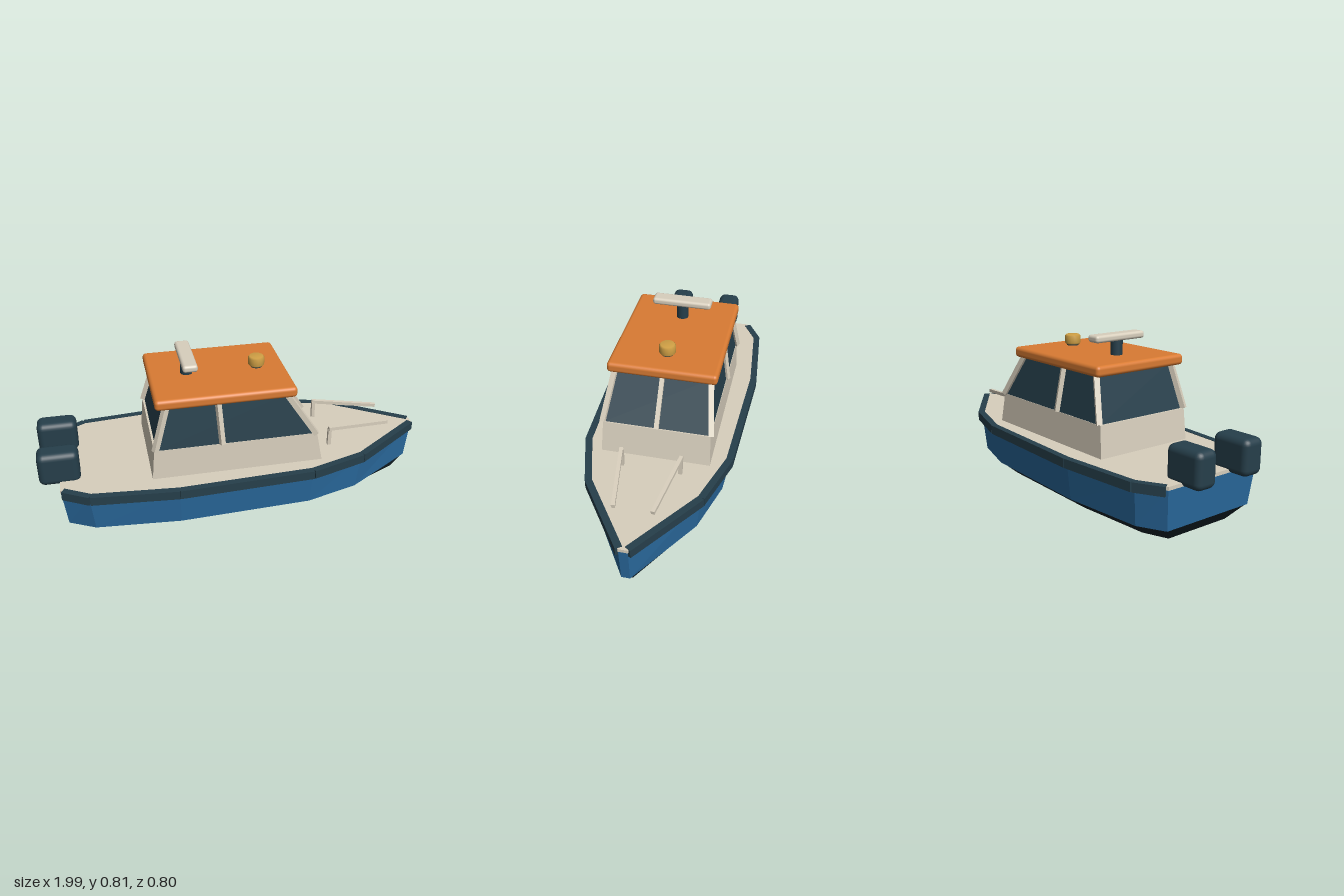
import * as THREE from 'three';
import { RoundedBoxGeometry } from 'three/addons/geometries/RoundedBoxGeometry.js';

export function createModel() {
  const boat = new THREE.Group();
  boat.name = 'boat';
  const mat = (name, color) => {
    const m = new THREE.MeshStandardMaterial({ color });
    m.name = name;
    return m;
  };
  const blue = mat('hull blue', 0x2a6a9e);
  const black = mat('keel black', 0x17252b);
  const cream = mat('cream', 0xd8cfbd);
  const slate = mat('dark slate', 0x263f4b);
  const orange = mat('roof orange', 0xd97b33);
  const gold = mat('beacon gold', 0xd0a045);

  const add = (name, geometry, material, x = 0, y = 0, z = 0) => {
    const mesh = new THREE.Mesh(geometry, material);
    mesh.name = name;
    mesh.position.set(x, y, z);
    boat.add(mesh);
    return mesh;
  };

  // Flat-faced solid through horizontal rings, closed at both ends
  const loft = (rings) => {
    const pos = [];
    const n = rings[0].length;
    const tri = (...pts) => pts.forEach((p) => pos.push(...p));
    for (let r = 0; r < rings.length - 1; r++) {
      for (let i = 0; i < n; i++) {
        const j = (i + 1) % n, lo = rings[r], hi = rings[r + 1];
        tri(lo[i], lo[j], hi[j]);
        tri(lo[i], hi[j], hi[i]);
      }
    }
    const first = rings[0], last = rings[rings.length - 1];
    for (let i = 1; i < n - 1; i++) {
      tri(first[0], first[i + 1], first[i]);
      tri(last[0], last[i], last[i + 1]);
    }
    const g = new THREE.BufferGeometry();
    g.setAttribute('position', new THREE.Float32BufferAttribute(pos, 3));
    g.computeVertexNormals();
    return g;
  };

  // Square bar between two points
  const beam = (name, a, b, w, h, material) => {
    const p = new THREE.Vector3(...a), q = new THREE.Vector3(...b);
    const bar = add(name, new THREE.BoxGeometry(w, h, p.distanceTo(q)), material);
    bar.position.copy(p).add(q).multiplyScalar(0.5);
    bar.lookAt(q);
    return bar;
  };

  // Hull: one plan outline, scaled at each height
  const half = [[-0.9, 0.272], [-0.77, 0.343], [-0.345, 0.38], [0.33, 0.352], [0.61, 0.268], [0.985, 0.022]];
  const hullRing = (y, sx, sz) => {
    const side = half.map(([x, z]) => [0.04 + (x - 0.04) * sx, y, z * sz]);
    return [...side, ...side.map(([x, yy, z]) => [x, yy, -z]).reverse()];
  };
  add('keel', loft([hullRing(0, 0.91, 0.66), hullRing(0.075, 0.975, 0.915)]), black);
  add('hull', loft([hullRing(0.075, 0.98, 0.93), hullRing(0.27, 1, 1)]), blue);
  add('deck', loft([hullRing(0.268, 1.003, 1), hullRing(0.285, 1.003, 1)]), cream);

  // Rubbing rails along both sides
  const railPath = [[-0.89, 0.275], [-0.765, 0.346], [-0.345, 0.383], [0.33, 0.357], [0.615, 0.27], [0.98, 0.02]];
  for (const s of [1, -1]) {
    for (let i = 0; i < railPath.length - 1; i++) {
      const [x0, z0] = railPath[i], [x1, z1] = railPath[i + 1];
      beam('rubbingRail', [x0, 0.265, s * z0], [x1, 0.265, s * z1], 0.034, 0.045, slate);
    }
  }

  // Cabin
  const box = (y, x0, x1, z) => [[x0, y, z], [x1, y, z], [x1, y, -z], [x0, y, -z]];
  add('cabinBase', loft([box(0.28, -0.46, 0.397, 0.27), box(0.44, -0.445, 0.365, 0.264)]), cream);
  add('windows', loft([box(0.438, -0.435, 0.36, 0.262), box(0.66, -0.37, 0.212, 0.228)]), slate);
  for (const s of [1, -1]) {
    beam('frontPillar', [0.36, 0.44, s * 0.266], [0.212, 0.66, s * 0.233], 0.026, 0.026, cream);
    beam('rearPillar', [-0.44, 0.44, s * 0.266], [-0.375, 0.66, s * 0.233], 0.026, 0.026, cream);
    beam('sidePillar', [-0.113, 0.44, s * 0.266], [-0.127, 0.66, s * 0.233], 0.024, 0.024, cream);
  }
  beam('windscreenPillar', [0.362, 0.44, 0], [0.214, 0.66, 0], 0.022, 0.022, cream);
  add('roof', new RoundedBoxGeometry(0.685, 0.053, 0.536, 3, 0.018), orange, -0.087, 0.682, 0);

  // Radar and beacon
  add('radarPost', new THREE.CylinderGeometry(0.03, 0.03, 0.08, 16), slate, -0.24, 0.745, 0);
  add('radarBar', new RoundedBoxGeometry(0.073, 0.036, 0.3, 3, 0.014), cream, -0.24, 0.797, 0);
  add('beaconBase', new THREE.CylinderGeometry(0.03, 0.03, 0.01, 16), slate, 0.113, 0.711, 0);
  const beaconProfile = [[0, 0.714], [0.034, 0.714], [0.041, 0.722], [0.041, 0.757], [0.034, 0.765], [0, 0.765]];
  add('beacon', new THREE.LatheGeometry(beaconProfile.map((p) => new THREE.Vector2(...p)), 16), gold, 0.113, 0, 0);

  // Bow handrails and outboard motors
  for (const s of [1, -1]) {
    add('handrailPost', new THREE.BoxGeometry(0.018, 0.1, 0.018), cream, 0.475, 0.33, s * 0.143);
    beam('handrail', [0.468, 0.38, s * 0.146], [0.812, 0.349, s * 0.09], 0.018, 0.018, cream);
    add('outboardMotor', new RoundedBoxGeometry(0.2, 0.172, 0.115, 3, 0.032), slate, -0.9, 0.35, s * 0.143);
  }
  return boat;
}
